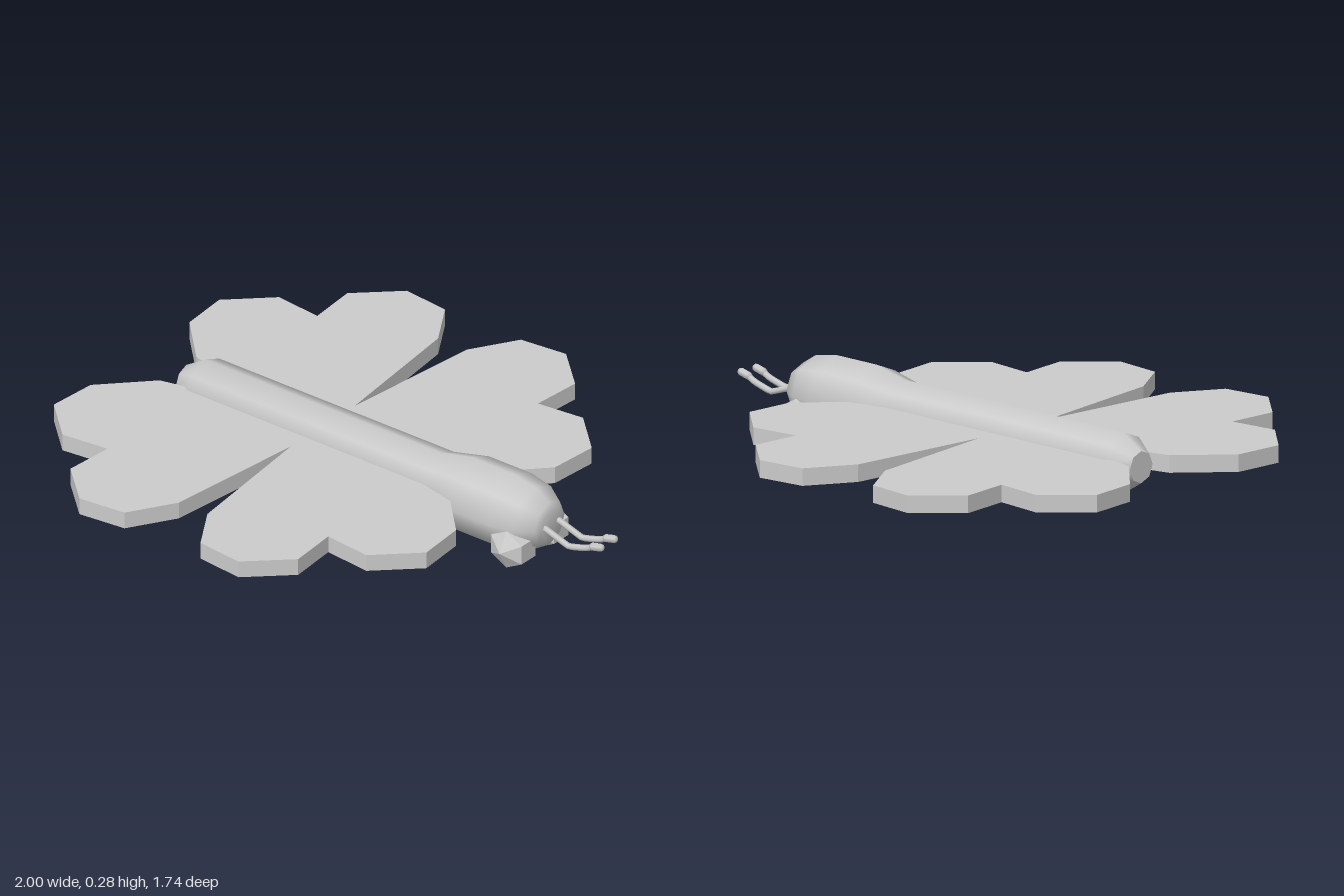
import * as THREE from 'three';
import { toCreasedNormals } from 'three/addons/utils/BufferGeometryUtils.js';

const material = new THREE.MeshStandardMaterial({ color: 0xcccccc });
const AXIS_Y = 0.147; // height of the body axis
const WING_X = -0.215; // where the four wings meet

function add(parent, name, geometry, x = 0, y = 0, z = 0) {
  const mesh = new THREE.Mesh(geometry, material);
  mesh.name = name;
  mesh.position.set(x, y, z);
  parent.add(mesh);
  return mesh;
}

// Eight-sided body and head, turned around the x axis: [radius, x]
function bodyGeometry() {
  const profile = [
    [0, -0.79], [0.055, -0.79], [0.105, -0.71], [0.105, 0.28], [0.134, 0.41],
    [0.134, 0.59], [0.118, 0.68], [0.08, 0.74], [0.055, 0.75], [0, 0.75],
  ].map(([r, x]) => new THREE.Vector2(r, x));
  const geo = new THREE.LatheGeometry(profile, 8);
  geo.rotateZ(-Math.PI / 2);
  return toCreasedNormals(geo, 0.95);
}

// Heart-shaped slab wing, mirrored through the signs of x and z
function wingGeometry(sx, sz) {
  const outline = [
    [0, 0], [0, 0.17], [0.06, 0.69], [0.16, 0.853], [0.335, 0.872], [0.48, 0.737],
    [0.465, 0.558], [0.64, 0.577], [0.785, 0.44], [0.77, 0.263], [0.61, 0.098], [0.45, 0.06],
  ].map(([x, z]) => new THREE.Vector2(x * sx, z * sz));
  const geo = new THREE.ExtrudeGeometry(new THREE.Shape(outline), { depth: 0.06, bevelEnabled: false });
  geo.rotateX(Math.PI / 2);
  return geo;
}

// Faceted eye with its poles pointing sideways
function eyeGeometry() {
  const geo = new THREE.SphereGeometry(0.075, 6, 3).toNonIndexed();
  geo.rotateY(Math.PI / 6);
  geo.rotateX(Math.PI / 2);
  geo.rotateZ(Math.PI / 6);
  // Put a corner of the hexagon at the top, whatever the seam position
  const p = geo.attributes.position;
  let best = 0;
  for (let i = 0; i < p.count; i++) {
    if (Math.hypot(p.getX(i), p.getY(i)) > 0.03) { best = i; break; }
  }
  geo.rotateZ(Math.PI / 2 - Math.atan2(p.getY(best), p.getX(best)));
  geo.scale(1.14, 1.05, 1);
  geo.computeVertexNormals();
  return geo;
}

// Thin bent feeler with a thicker tip
function makeAntenna(side) {
  const group = new THREE.Group();
  group.name = side > 0 ? 'rightAntenna' : 'leftAntenna';
  const path = new THREE.CatmullRomCurve3(
    [[0.7, 0.16], [0.76, 0.145], [0.85, 0.116], [0.925, 0.136], [0.96, 0.155]]
      .map(([x, y]) => new THREE.Vector3(x, y, 0)), false, 'catmullrom', 0.1);
  add(group, 'stalk', new THREE.TubeGeometry(path, 16, 0.011, 6));
  const tip = add(group, 'tip', new THREE.CapsuleGeometry(0.015, 0.03, 2, 6), 0.968, 0.155, 0);
  tip.rotation.z = -Math.PI / 2 + 0.25;
  group.position.z = side * 0.036;
  return group;
}

export function createModel() {
  const model = new THREE.Group();
  model.name = 'butterfly';
  add(model, 'body', bodyGeometry(), 0, AXIS_Y, 0);

  for (const side of [-1, 1]) {
    const label = side > 0 ? 'right' : 'left';
    add(model, label + 'ForeWing', wingGeometry(1, side), WING_X, 0.175, 0);
    add(model, label + 'HindWing', wingGeometry(-1, side), WING_X, 0.175, 0);
    add(model, label + 'Eye', eyeGeometry(), 0.657, 0.074, side * 0.087);
    model.add(makeAntenna(side));
  }
  return model;
}
